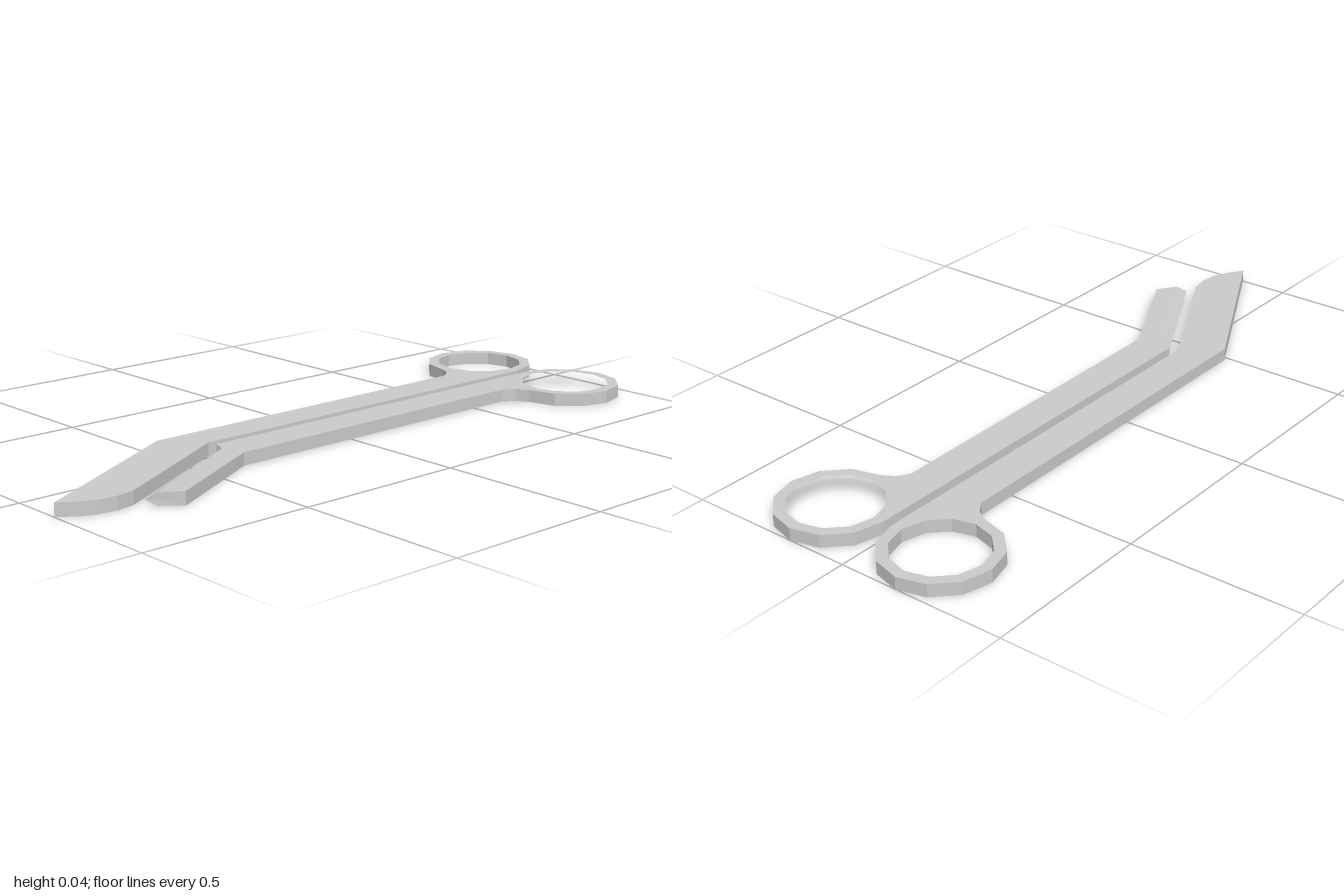
import * as THREE from 'three';

const THICK = 0.037;
const RING = { x: 0.177, z: -0.838, outer: 0.163, inner: 0.131 };

// Twelve-sided ring point; k = 0 faces the other half, k = 3 is the rear end
function ringPoint(side, radius, k) {
  const a = (k * Math.PI) / 6;
  return new THREE.Vector2(
    side * (RING.x - radius * Math.cos(a)),
    -(RING.z - radius * Math.sin(a))
  );
}

// One flat half: finger ring, shank and angled blade in a single outline.
// Blade points are [x, z], running from the shank's outer edge to its inner edge.
function makeHalf(name, side, blade, material) {
  const outline = [];
  for (let k = 0; k <= 9; k++) outline.push(ringPoint(side, RING.outer, k));
  const rest = [[side * 0.143, -0.655], [side * 0.12, -0.62], ...blade];
  for (const [x, z] of rest) outline.push(new THREE.Vector2(x, -z));

  const hole = [];
  for (let k = 0; k < 12; k++) hole.push(ringPoint(side, RING.inner, k));

  const shape = new THREE.Shape(outline);
  shape.holes.push(new THREE.Path(hole));
  const geometry = new THREE.ExtrudeGeometry(shape, {
    depth: THICK, steps: 2, bevelEnabled: false,
  });
  geometry.rotateX(-Math.PI / 2);
  const mesh = new THREE.Mesh(geometry, material);
  mesh.name = name;
  return mesh;
}

// Pull the mid-height layer of chosen outline points outwards into a sharp edge
function sharpen(mesh, moves) {
  const pos = mesh.geometry.attributes.position;
  for (let i = 0; i < pos.count; i++) {
    if (Math.abs(pos.getY(i) - THICK / 2) > 1e-4) continue;
    for (const [[x, z], [toX, toZ]] of moves) {
      if (Math.hypot(pos.getX(i) - x, pos.getZ(i) - z) < 1e-4) {
        pos.setXYZ(i, toX, THICK / 2, toZ);
        break;
      }
    }
  }
  mesh.geometry.computeVertexNormals();
}

export function createModel() {
  const group = new THREE.Group();
  group.name = 'bandageScissors';
  const material = new THREE.MeshStandardMaterial({ color: 0xcccccc, flatShading: true });

  // Long half with the rounded, pointed tip
  group.add(makeHalf('longBladeHalf', -1, [
    [-0.12, 0.485], [0.152, 1.0], [0.185, 0.95], [0.203, 0.91],
    [0.21, 0.855], [0.2, 0.8], [-0.014, 0.395],
  ], material));

  // Short half with a double-bevelled cutting edge
  const bevelRoot = [0.055, 0.405];
  const bevelTip = [0.25, 0.765];
  const shortHalf = makeHalf('shortBladeHalf', 1, [
    [0.122, 0.385], [0.29, 0.71], bevelTip, bevelRoot, [0.014, 0.39],
  ], material);
  sharpen(shortHalf, [
    [bevelRoot, [0.022, 0.398]],
    [bevelTip, [0.23, 0.79]],
  ]);
  group.add(shortHalf);

  return group;
}
